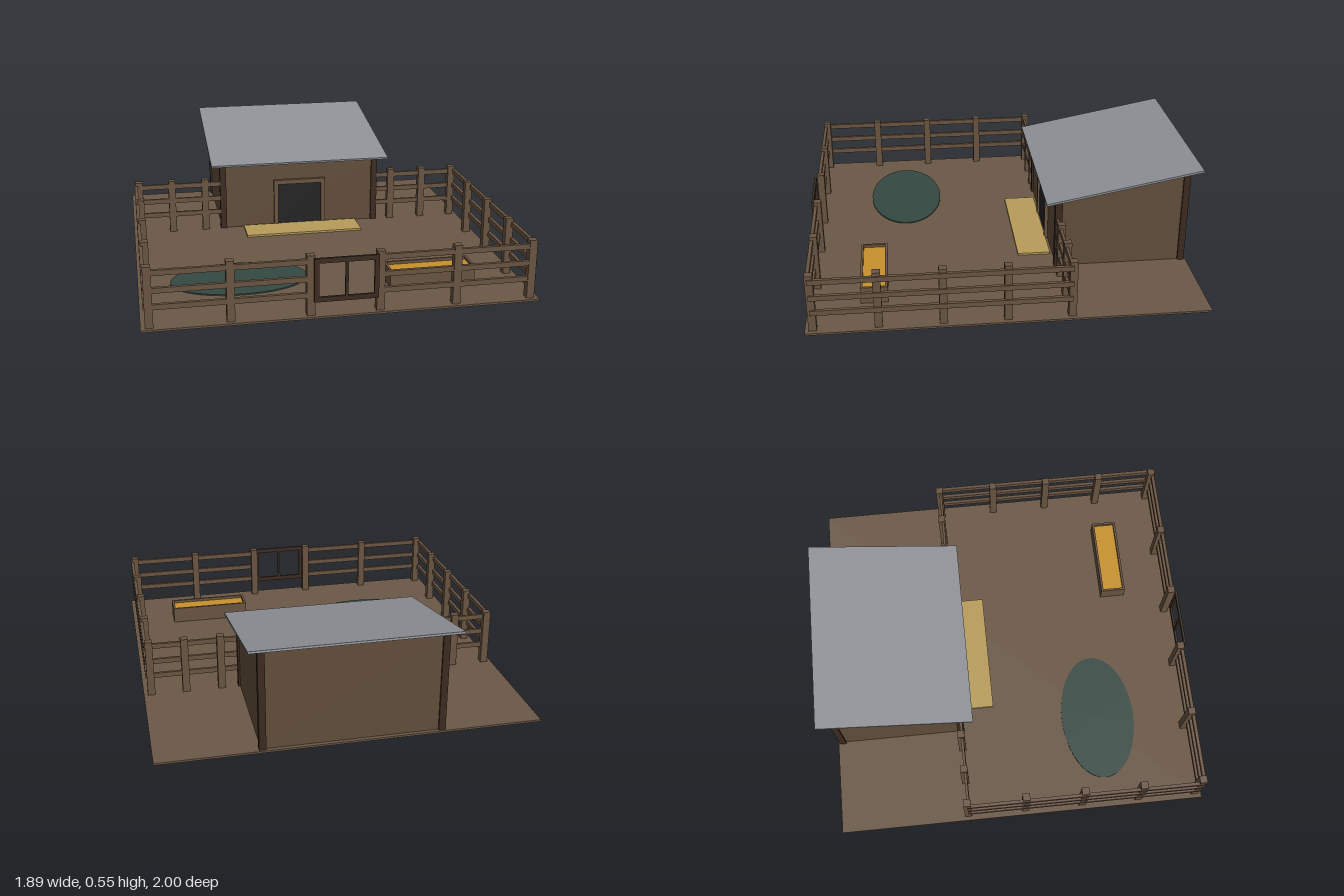
import * as THREE from 'three';

const mat = (name, color) => {
  const m = new THREE.MeshStandardMaterial({ color });
  m.name = name;
  return m;
};

export function createModel() {
  const earth = mat('earth', 0x6b5846);
  const wood = mat('fence wood', 0x6a5441);
  const plank = mat('wall planks', 0x624e3a);
  const dark = mat('dark timber', 0x3c2b20);
  const black = mat('doorway black', 0x222222);
  const metal = mat('grey roof', 0x8e9196);
  const water = mat('pond water', 0x344841);
  const straw = mat('straw', 0xb89c5a);
  const grain = mat('grain', 0xc8922c);

  const model = new THREE.Group();
  model.name = 'animalPen';
  const add = (name, geo, material, x, y, z, parent = model) => {
    const m = new THREE.Mesh(geo, material);
    m.name = name;
    m.position.set(x, y, z);
    parent.add(m);
    return m;
  };
  // Box given by its lower and upper corners
  const box = (name, material, x0, x1, y0, y1, z0, z1, parent) =>
    add(name, new THREE.BoxGeometry(x1 - x0, y1 - y0, z1 - z0), material,
      (x0 + x1) / 2, (y0 + y1) / 2, (z0 + z1) / 2, parent);

  const G = 0.01;
  box('ground', earth, -0.945, 0.945, 0, G, -0.957, 0.995);

  // Fence posts and three levels of rails
  const fence = new THREE.Group();
  fence.name = 'fence';
  model.add(fence);
  const post = (x, z) => box('fencePost', wood, x - 0.019, x + 0.019, G, 0.306, z - 0.019, z + 0.019, fence);
  for (const s of [-1, 1]) {
    for (const x of [0.165, 0.535, 0.905]) post(s * x, 0.957);
    for (const z of [0.034, 0.342, 0.649]) post(s * 0.905, z);
    for (const x of [0.54, 0.725, 0.905]) post(s * x, -0.275);
    for (const y of [0.11, 0.19, 0.275]) {
      const rail = (name, xa, xb, z0, z1) =>
        box(name, wood, Math.min(s * xa, s * xb), Math.max(s * xa, s * xb), y - 0.013, y + 0.013, z0, z1, fence);
      rail('sideRail', 0.913, 0.93, -0.275, 0.966);
      rail('frontRail', 0.165, 0.922, 0.957, 0.974);
      rail('backRail', 0.45, 0.922, -0.276, -0.262);
    }
  }

  // Gate frame with a middle stile
  const gate = new THREE.Group();
  gate.name = 'gate';
  model.add(gate);
  for (const y of [0.092, 0.283]) box('gateBar', dark, -0.152, 0.152, y - 0.012, y + 0.012, 0.978, 0.99, gate);
  for (const x of [-0.141, 0, 0.141]) {
    const w = x ? 0.011 : 0.007;
    box('gateStile', dark, x - w, x + w, 0.104, 0.271, 0.978, 0.99, gate);
  }

  // Shed body: side profile extruded across the width
  const shed = new THREE.Group();
  shed.name = 'shed';
  model.add(shed);
  const profile = new THREE.Shape([[0.268, G], [0.937, G], [0.937, 0.517], [0.268, 0.377]]
    .map(([x, y]) => new THREE.Vector2(x, y)));
  const body = new THREE.ExtrudeGeometry(profile, { depth: 0.89, bevelEnabled: false });
  body.rotateY(Math.PI / 2);
  add('shedWalls', body, plank, -0.445, 0, 0, shed);
  for (const s of [-1, 1]) {
    box('frontCornerPost', dark, s * 0.438 - 0.017, s * 0.438 + 0.017, G, 0.398, -0.294, -0.257, shed);
    box('backCornerPost', dark, s * 0.438 - 0.017, s * 0.438 + 0.017, G, 0.52, -0.947, -0.913, shed);
    box('doorJamb', wood, s * 0.136 - 0.012, s * 0.136 + 0.012, G, 0.28, -0.27, -0.25, shed);
  }
  box('doorLintel', wood, -0.148, 0.148, 0.255, 0.28, -0.27, -0.249, shed);
  box('doorway', black, -0.125, 0.125, G, 0.256, -0.269, -0.262, shed);

  // Sloping roof
  const roof = add('roof', new THREE.BoxGeometry(1.01, 0.011, 0.808), metal, 0, 0.467, -0.602, shed);
  roof.rotation.x = Math.atan2(0.15, 0.795);

  // Straw bed by the door
  box('strawBed', straw, -0.325, 0.325, G, 0.021, -0.255, -0.084);

  // Oval pond
  const pond = add('pond', new THREE.CylinderGeometry(1, 1, 0.006, 48), water, -0.44, 0.013, 0.49);
  pond.scale.set(0.345, 1, 0.2);

  // Feeding trough
  const trough = new THREE.Group();
  trough.name = 'trough';
  model.add(trough);
  for (const z of [0.603, 0.726]) box('troughSide', wood, 0.275, 0.709, G, 0.097, z, z + 0.012, trough);
  for (const x of [0.275, 0.697]) box('troughEnd', wood, x, x + 0.012, G, 0.097, 0.615, 0.726, trough);
  box('feed', grain, 0.287, 0.697, G, 0.082, 0.615, 0.726, trough);

  return model;
}
